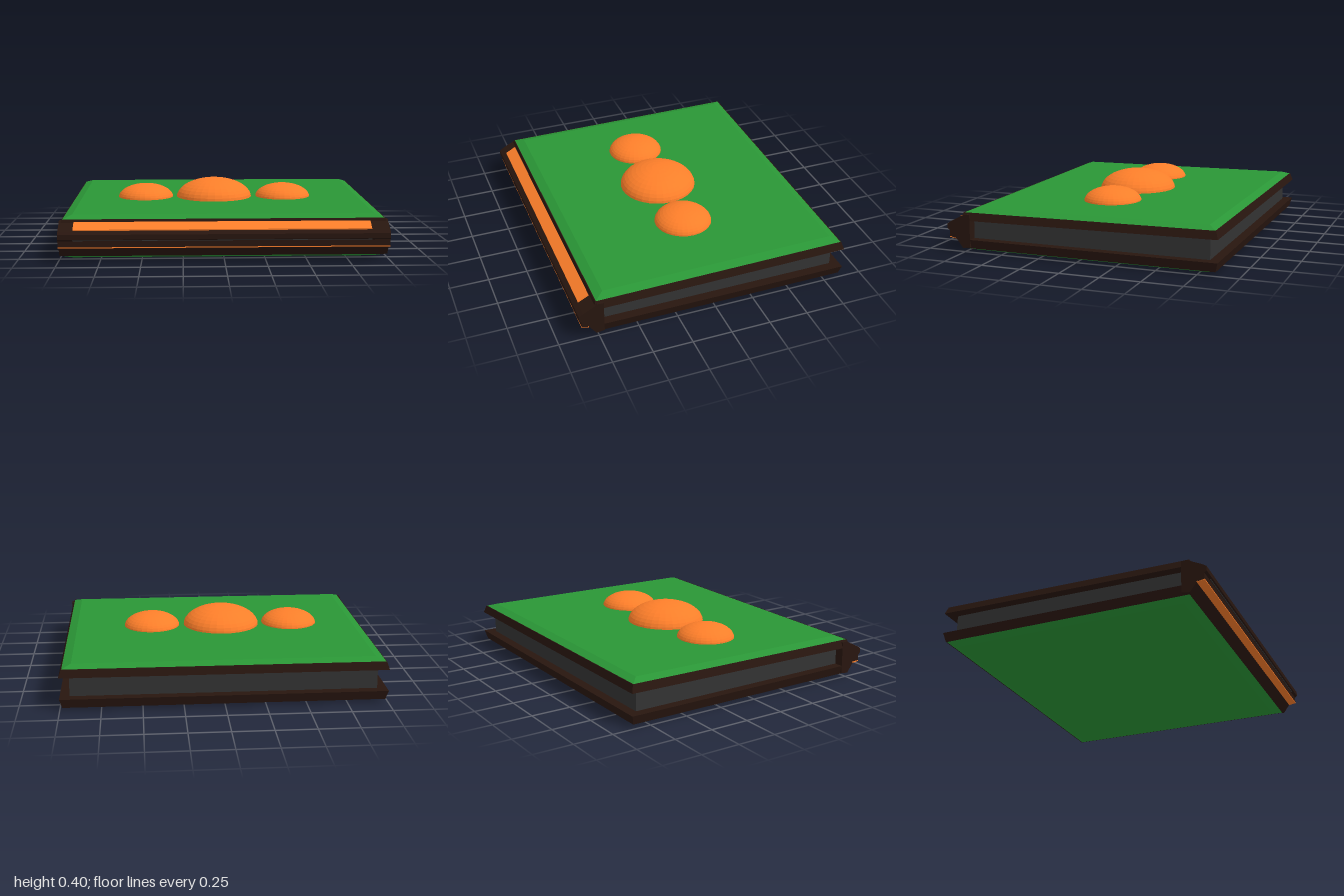
import * as THREE from 'three';

const mat = (color) => new THREE.MeshStandardMaterial({ color, flatShading: true });
const green = mat(0x2a9636), brown = mat(0x28160f), orange = mat(0xff7f2a), grey = mat(0x333333);

// Slab between an inner and an outer rectangle [x half, z back, z front, y]; tilt raises the back
function slab(name, material, low, high, tilt = 0) {
  const g = new THREE.BoxGeometry(1, 1, 1);
  const p = g.attributes.position;
  for (let i = 0; i < p.count; i++) {
    const [hx, back, front, y] = p.getY(i) < 0 ? low : high;
    const z = p.getZ(i) < 0 ? back : front;
    p.setXYZ(i, p.getX(i) < 0 ? -hx : hx, y - tilt * z, z);
  }
  g.computeVertexNormals();
  const mesh = new THREE.Mesh(g, material);
  mesh.name = name;
  return mesh;
}

// Bar running along x with a cross-section given as [z, y] points
function bar(name, material, points, x0, x1) {
  const shape = new THREE.Shape(points.map(([z, y]) => new THREE.Vector2(z, y)));
  const g = new THREE.ExtrudeGeometry(shape, { depth: x1 - x0, bevelEnabled: false });
  g.rotateY(-Math.PI / 2).translate(x1, 0, 0);
  const mesh = new THREE.Mesh(g, material);
  mesh.name = name;
  return mesh;
}

export function createModel() {
  const book = new THREE.Group();
  book.name = 'book';

  // Upper cover, slightly lifted towards the open edge
  const tilt = 0.01;
  book.add(
    slab('upperCover', brown, [1, -0.87, 0.78, 0.204], [0.983, -0.855, 0.762, 0.253], tilt),
    slab('upperPanel', green, [0.98, -0.85, 0.757, 0.253], [0.925, -0.8, 0.7, 0.273], tilt),
  );

  // Lower cover
  book.add(
    slab('lowerCover', brown, [0.983, -0.855, 0.762, 0.02], [1, -0.87, 0.79, 0.077]),
    slab('lowerPanel', green, [0.925, -0.8, 0.7, 0], [0.98, -0.85, 0.757, 0.02]),
  );

  // Page block
  book.add(slab('pages', grey, [0.94, -0.81, 0.73, 0.07], [0.94, -0.81, 0.73, 0.21]));

  // Spine with its inlays
  book.add(
    bar('spine', brown, [
      [0.715, 0.03], [0.765, 0.022], [0.81, 0.082], [0.855, 0.09], [0.855, 0.13],
      [0.87, 0.14], [0.87, 0.17], [0.845, 0.187], [0.765, 0.228], [0.755, 0.237], [0.715, 0.235],
    ], -1, 1),
    bar('spineInlay', orange, [[0.84, 0.18], [0.842, 0.196], [0.775, 0.232], [0.77, 0.215]], -0.91, 0.89),
    bar('lowerSpineLine', orange, [[0.806, 0.079], [0.814, 0.079], [0.856, 0.086], [0.856, 0.092], [0.806, 0.09]], -1, 1),
    bar('spineGroove', grey, [[0.85, 0.131], [0.862, 0.131], [0.862, 0.137], [0.85, 0.137]], -0.91, 0.89),
  );

  // Flattened domes on the upper cover
  for (const [name, x, radius, height] of [
    ['rightDome', -0.5, 0.184, 0.093], ['middleDome', -0.04, 0.252, 0.132], ['leftDome', 0.425, 0.184, 0.093],
  ]) {
    const dome = new THREE.Mesh(new THREE.SphereGeometry(1, 32, 10, 0, Math.PI * 2, 0, Math.PI / 2), orange);
    dome.name = name;
    dome.scale.set(radius, height, radius);
    dome.position.set(x, 0.268, -0.007);
    book.add(dome);
  }
  return book;
}
